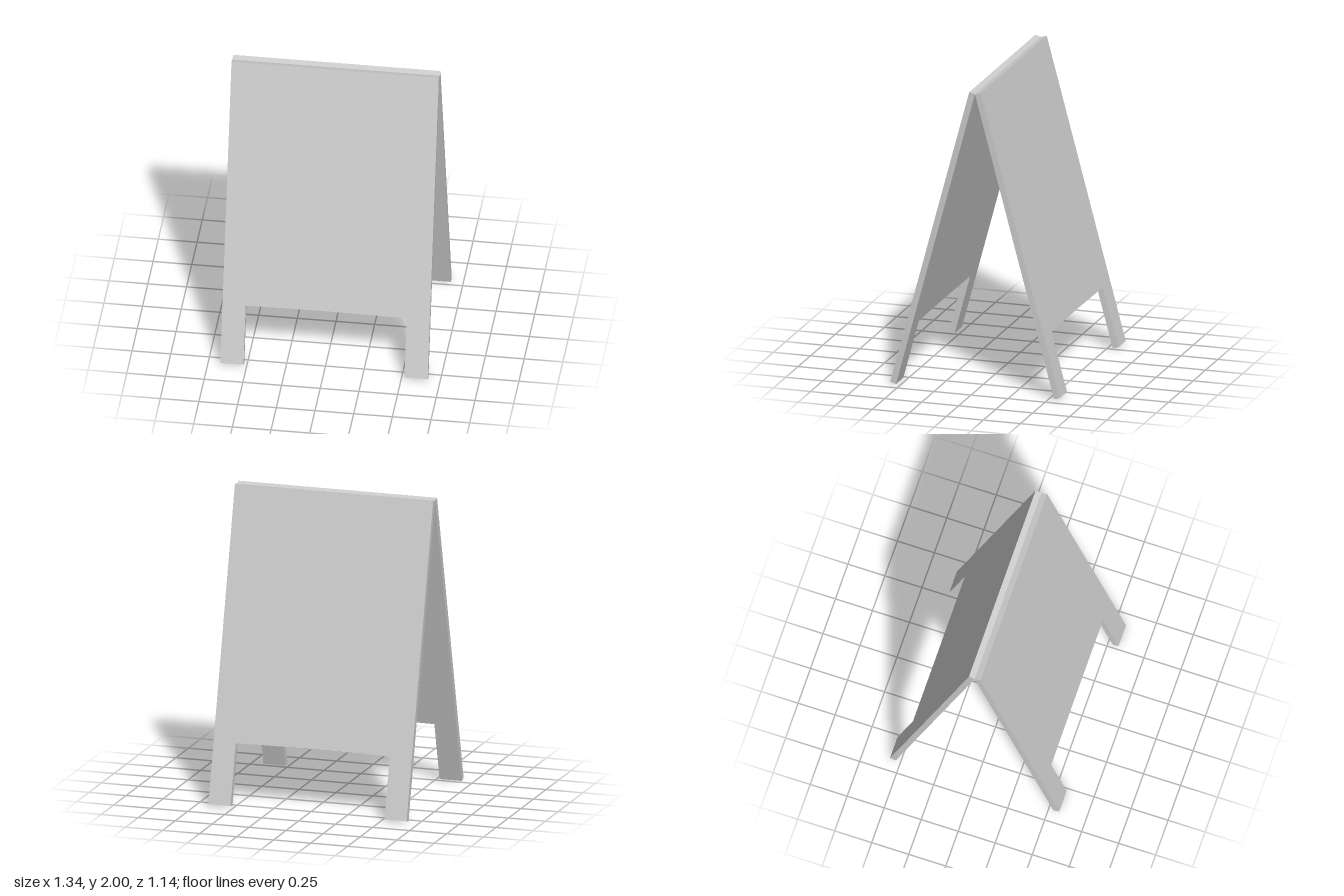
import * as THREE from 'three';

const TILT = THREE.MathUtils.degToRad(15);
const THICK = 0.04;
const HALF_WIDTH = 0.67;
const LEG_INNER = 0.52;
const TOP_Y = 2 - THICK * Math.sin(TILT); // inner top edge, where the boards meet
const LENGTH = TOP_Y / Math.cos(TILT);
const NOTCH = -1.6 / Math.cos(TILT);

// Board outline with two legs, hanging down from its top edge
function boardGeometry() {
  const s = new THREE.Shape();
  s.moveTo(-HALF_WIDTH, 0);
  s.lineTo(-HALF_WIDTH, -LENGTH);
  s.lineTo(-LEG_INNER, -LENGTH);
  s.lineTo(-LEG_INNER, NOTCH);
  s.quadraticCurveTo(0, NOTCH + 0.01, LEG_INNER, NOTCH); // very slight arch
  s.lineTo(LEG_INNER, -LENGTH);
  s.lineTo(HALF_WIDTH, -LENGTH);
  s.lineTo(HALF_WIDTH, 0);
  s.closePath();
  return new THREE.ExtrudeGeometry(s, { depth: THICK, bevelEnabled: false, curveSegments: 8 });
}

export function createModel() {
  const model = new THREE.Group();
  model.name = 'sandwichBoard';
  const material = new THREE.MeshStandardMaterial({ color: 0xcccccc });
  const geometry = boardGeometry();

  // Front and back boards lean against each other at the top
  for (const [name, turn] of [['frontBoard', 0], ['backBoard', Math.PI]]) {
    const side = new THREE.Group();
    side.name = name;
    side.rotation.y = turn;
    const panel = new THREE.Mesh(geometry, material);
    panel.name = name + 'Panel';
    panel.position.y = TOP_Y;
    panel.rotation.x = -TILT;
    side.add(panel);
    model.add(side);
  }
  return model;
}
